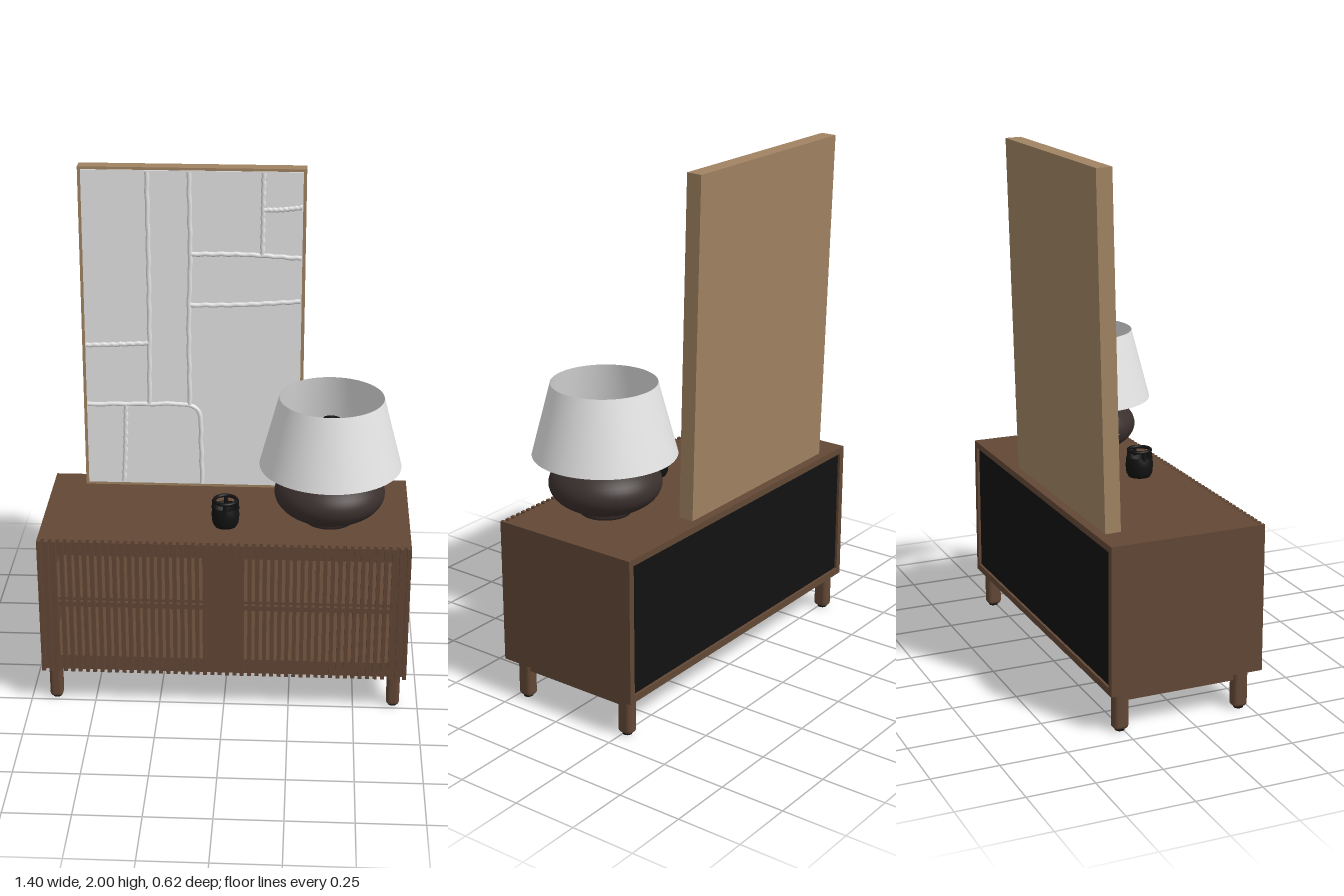
import * as THREE from 'three';
import { RoundedBoxGeometry } from 'three/addons/geometries/RoundedBoxGeometry.js';

const material = (name, color, side = THREE.FrontSide) => {
  const m = new THREE.MeshStandardMaterial({ color, side });
  m.name = name;
  return m;
};

export function createModel() {
  const walnut = material('walnut', 0x624735);
  const oak = material('pale oak', 0xa08362);
  const plaster = material('white plaster', 0xe4e4e4);
  const linen = material('white linen', 0xe4e4e4, THREE.DoubleSide);
  const ceramic = material('dark ceramic', 0x3a302e);
  const black = material('black', 0x121212);

  const model = new THREE.Group();
  const group = (name, parent = model) => {
    const g = new THREE.Group();
    g.name = name;
    parent.add(g);
    return g;
  };
  const add = (parent, name, geometry, mat, x = 0, y = 0, z = 0) => {
    const m = new THREE.Mesh(geometry, mat);
    m.name = name;
    m.position.set(x, y, z);
    parent.add(m);
    return m;
  };
  // Box given by its lower and upper corners
  const block = (parent, name, mat, [x0, y0, z0], [x1, y1, z1]) =>
    add(parent, name, new THREE.BoxGeometry(x1 - x0, y1 - y0, z1 - z0), mat,
      (x0 + x1) / 2, (y0 + y1) / 2, (z0 + z1) / 2);
  const lathe = (points, segments = 48) =>
    new THREE.LatheGeometry(points.map(p => new THREE.Vector2(...p)), segments);

  // Cabinet carcass
  const cabinet = group('cabinet');
  block(cabinet, 'top', walnut, [-0.7, 0.685, -0.312], [0.7, 0.71, 0.25]);
  block(cabinet, 'bottom', walnut, [-0.7, 0.15, -0.312], [0.7, 0.177, 0.25]);
  block(cabinet, 'shelf', walnut, [-0.675, 0.425, -0.29], [0.675, 0.445, 0.23]);
  block(cabinet, 'divider', walnut, [-0.012, 0.177, -0.29], [0.012, 0.685, 0.25]);
  block(cabinet, 'backPanel', black, [-0.675, 0.177, -0.302], [0.675, 0.685, -0.29]);
  for (const s of [-1, 1]) {
    const x = s * 0.6875;
    block(cabinet, 'sidePanel', walnut, [x - 0.0125, 0.177, -0.312], [x + 0.0125, 0.685, 0.25]);
    // Legs with a rail between them
    for (const z of [0.215, -0.26]) {
      add(cabinet, 'leg', new RoundedBoxGeometry(0.05, 0.15, 0.058, 3, 0.016), walnut, s * 0.655, 0.08, z);
      add(cabinet, 'footPad', new THREE.CylinderGeometry(0.018, 0.018, 0.008, 20), black, s * 0.655, 0.004, z);
    }
    block(cabinet, 'legRail', walnut, [s * 0.655 - 0.015, 0.115, -0.24], [s * 0.655 + 0.015, 0.15, 0.19]);
  }

  // Door board with openings, then vertical slats over it
  const rect = (Type, x0, y0, x1, y1) => {
    const p = new Type();
    p.moveTo(x0, y0);
    p.lineTo(x1, y0);
    p.lineTo(x1, y1);
    p.lineTo(x0, y1);
    p.closePath();
    return p;
  };
  const door = rect(THREE.Shape, -0.7, 0.15, 0.7, 0.71);
  for (const x of [-0.635, 0.07])
    for (const [y0, y1] of [[0.21, 0.425], [0.445, 0.645]])
      door.holes.push(rect(THREE.Path, x, y0, x + 0.565, y1));
  add(cabinet, 'doorBoard', new THREE.ExtrudeGeometry(door, { depth: 0.015, bevelEnabled: false }), walnut, 0, 0, 0.25);
  const slats = group('slats', cabinet);
  const slatGeometry = new THREE.BoxGeometry(0.015, 0.56, 0.021);
  const count = 50;
  for (let i = 0; i < count; i++)
    add(slats, 'slat', slatGeometry, walnut, -0.6925 + 1.385 * i / (count - 1), 0.43, 0.2755);

  // Relief picture leaning back
  const picture = group('picture');
  picture.position.set(-0.143, 0.712, -0.218);
  picture.rotation.x = -0.0256;
  block(picture, 'pictureFrame', oak, [-0.427, 0, -0.06], [0.427, 1.288, 0]);
  block(picture, 'plasterPanel', plaster, [-0.415, 0.012, -0.01], [0.415, 1.278, 0.005]);

  // Raised, slightly wavy folds on the panel, given in model x and y
  const folds = [
    [[-0.31, 1.985], [-0.308, 1.5], [-0.312, 1.06]],
    [[-0.153, 1.985], [-0.15, 1.66], [-0.157, 1.4], [-0.155, 1.06]],
    [[0.125, 1.985], [0.122, 1.67]],
    [[0.125, 1.845], [0.2, 1.848], [0.27, 1.857]],
    [[-0.15, 1.67], [0.05, 1.672], [0.27, 1.66]],
    [[-0.15, 1.468], [0.05, 1.474], [0.27, 1.49]],
    [[-0.555, 1.3], [-0.43, 1.305], [-0.31, 1.312]],
    [[-0.555, 1.055], [-0.35, 1.06], [-0.15, 1.056], [-0.12, 1.03], [-0.112, 0.9], [-0.108, 0.73]],
    [[-0.405, 1.055], [-0.41, 0.88], [-0.418, 0.73]],
  ];
  for (const fold of folds) {
    const curve = new THREE.CatmullRomCurve3(
      fold.map(([x, y]) => new THREE.Vector3(x + 0.143, y - 0.712, 0.006)));
    const wavy = new THREE.CatmullRomCurve3(curve.getSpacedPoints(24).map((p, i) =>
      p.add(new THREE.Vector3(Math.sin(i * 2.3), Math.cos(i * 1.9), 0).multiplyScalar(0.0015))));
    add(picture, 'fold', new THREE.TubeGeometry(wavy, 60, 0.009, 8), plaster);
  }

  // Table lamp
  const lamp = group('lamp');
  lamp.position.set(0.393, 0.71, 0.039);
  const body = [[0, 0], [0.095, 0], [0.095, 0.015]];
  for (let i = 0; i <= 20; i++) {
    const a = -1.1 + 2.3 * i / 20;
    body.push([0.21 * Math.cos(a), 0.118 + 0.112 * Math.sin(a)]);
  }
  body.push([0, 0.226]);
  add(lamp, 'lampBase', lathe(body), ceramic);
  add(lamp, 'lampShade', new THREE.CylinderGeometry(0.196, 0.268, 0.274, 64, 1, true), linen, 0, 0.367, 0);
  add(lamp, 'lampSocket', lathe([[0, 0.22], [0.022, 0.22], [0.022, 0.27], [0.04, 0.29], [0.05, 0.33],
    [0.05, 0.38], [0.035, 0.415], [0, 0.428]], 24), black);
  for (const [x, z] of [[-44, -30], [45, -23], [-5, 52]]) {
    const end = new THREE.Vector3(x, 0, z).setLength(0.258).setY(0.26);
    const path = new THREE.LineCurve3(new THREE.Vector3(0, 0.26, 0), end);
    add(lamp, 'shadeSpoke', new THREE.TubeGeometry(path, 1, 0.005, 8), black);
  }

  // Small lantern with an open upper rim
  const lantern = group('lantern');
  lantern.position.set(0, 0.71, 0.112);
  add(lantern, 'lanternCup', lathe([[0, 0], [0.042, 0], [0.05, 0.015], [0.053, 0.045], [0.05, 0.078],
    [0.044, 0.078], [0.04, 0.05], [0, 0.05]], 32), black);
  const rim = add(lantern, 'lanternRim', new THREE.TorusGeometry(0.042, 0.007, 10, 32), black, 0, 0.104, 0);
  rim.rotation.x = Math.PI / 2;
  for (let i = 0; i < 4; i++) {
    const a = i * Math.PI / 2;
    add(lantern, 'lanternPost', new THREE.CylinderGeometry(0.007, 0.009, 0.035, 10), black,
      0.044 * Math.cos(a), 0.088, 0.044 * Math.sin(a));
  }

  return model;
}
